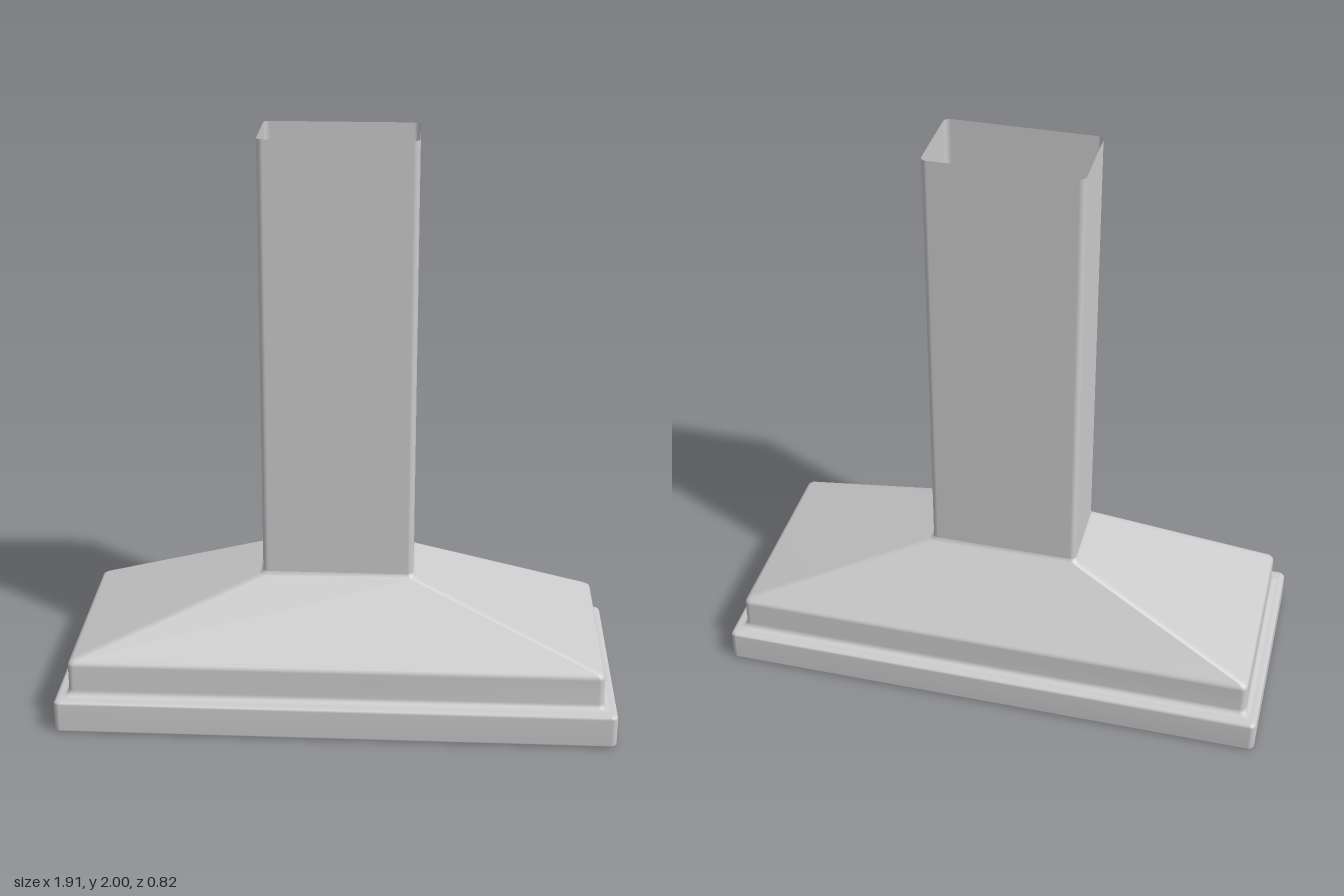
import * as THREE from 'three';

const CORNER_STEPS = 4;

// One rounded-rectangle ring, counter-clockwise from above
function ring(hx, hz, y, r) {
  const points = [];
  const signs = [[1, 1], [-1, 1], [-1, -1], [1, -1]];
  signs.forEach(([sx, sz], q) => {
    for (let i = 0; i <= CORNER_STEPS; i++) {
      const a = (q + i / CORNER_STEPS) * Math.PI / 2;
      points.push(sx * (hx - r) + r * Math.cos(a), y, -sz * (hz - r) - r * Math.sin(a));
    }
  });
  return points;
}

// Skin through a list of [halfWidth, halfDepth, height, cornerRadius]
function loft(name, sections, material) {
  const n = 4 * (CORNER_STEPS + 1);
  const positions = sections.flatMap(([hx, hz, y, r = 0.02]) => ring(hx, hz, y, r));
  const index = [];
  for (let s = 0; s < sections.length - 1; s++) {
    for (let i = 0; i < n; i++) {
      const a = s * n + i, b = s * n + (i + 1) % n;
      index.push(a, b, b + n, a, b + n, a + n);
    }
  }
  const geometry = new THREE.BufferGeometry();
  geometry.setAttribute('position', new THREE.Float32BufferAttribute(positions, 3));
  geometry.setIndex(index);
  geometry.computeVertexNormals(); // area weighted, so the flats stay flat
  const mesh = new THREE.Mesh(geometry, material);
  mesh.name = name;
  return mesh;
}

export function createModel() {
  const group = new THREE.Group();
  group.name = 'cookerHood';
  const metal = new THREE.MeshStandardMaterial({ color: 0xcccccc, side: THREE.DoubleSide });

  // Underside: flat panel, then sloping sides down to the rim
  group.add(loft('undersidePanel', [[0, 0, 0.35, 0], [0.59, 0.21, 0.35]], metal));
  group.add(loft('undersideSlopes', [[0.59, 0.21, 0.35], [0.915, 0.365, 0.015]], metal));

  // Base band with rounded edges
  group.add(loft('baseBand', [
    [0.915, 0.365, 0.015], [0.918, 0.368, 0.004], [0.925, 0.375, 0],
    [0.945, 0.4, 0], [0.952, 0.407, 0.003], [0.956, 0.41, 0.01],
    [0.956, 0.41, 0.106], [0.953, 0.408, 0.113], [0.946, 0.401, 0.117],
    [0.932, 0.382, 0.118],
  ], metal));

  // Canopy: coved foot, upright band, rounded shoulder and hipped slope
  group.add(loft('canopy', [
    [0.932, 0.382, 0.118], [0.921, 0.371, 0.12], [0.914, 0.363, 0.126],
    [0.911, 0.359, 0.138], [0.911, 0.359, 0.226], [0.909, 0.357, 0.234],
    [0.904, 0.353, 0.241], [0.893, 0.346, 0.248],
    [0.272, 0.15, 0.485], [0.263, 0.144, 0.49], [0.258, 0.141, 0.5],
  ], metal));

  // Open-topped flue
  group.add(loft('flue', [[0.258, 0.141, 0.5], [0.258, 0.141, 2]], metal));

  return group;
}
